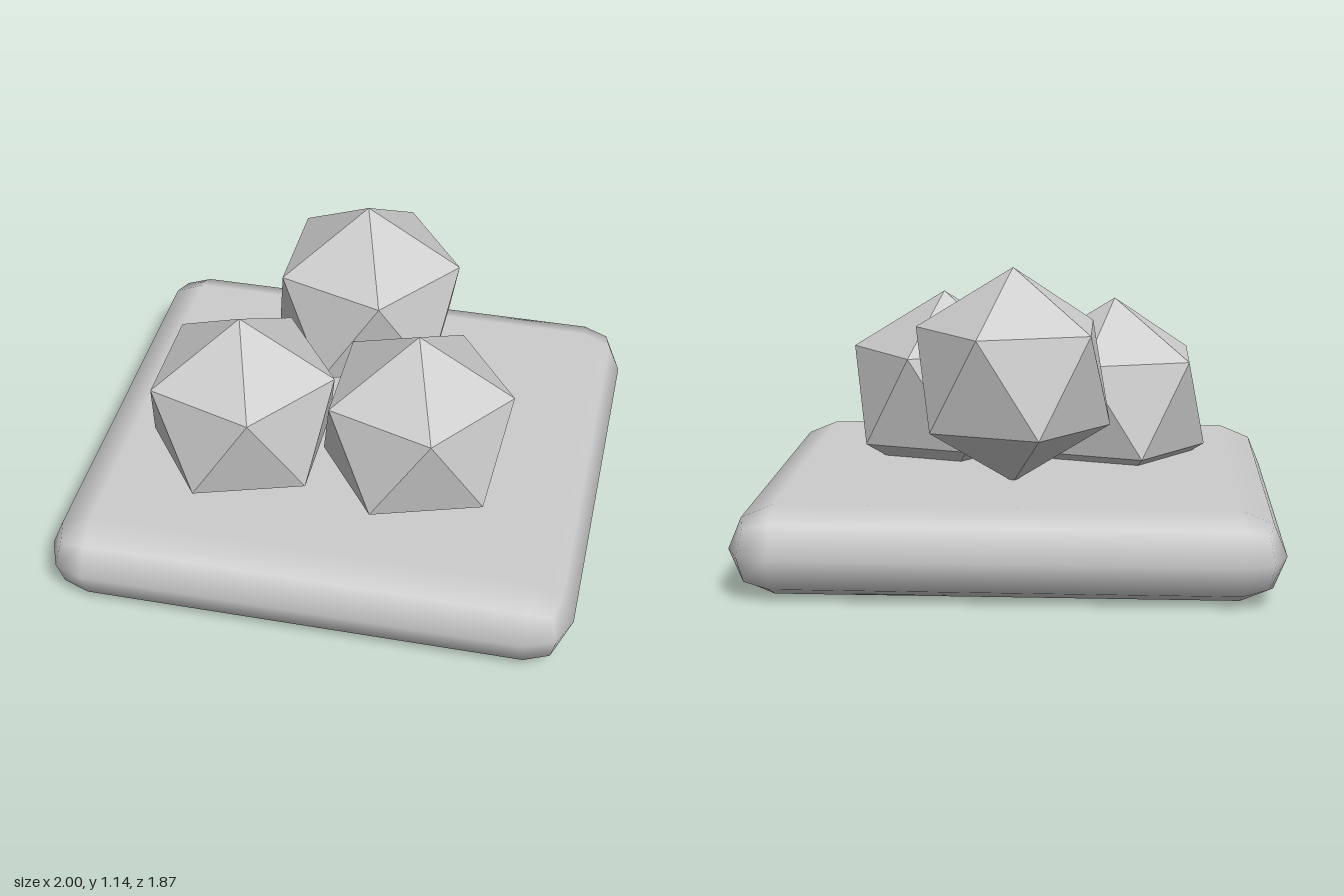
import * as THREE from 'three';
import { RoundedBoxGeometry } from 'three/addons/geometries/RoundedBoxGeometry.js';

export function createModel() {
  const model = new THREE.Group();
  model.name = 'stonesOnSlab';

  const grey = new THREE.MeshStandardMaterial({ color: 0xcccccc });
  grey.name = 'grey';
  const greyFaceted = new THREE.MeshStandardMaterial({ color: 0xcccccc, flatShading: true });
  greyFaceted.name = 'grey faceted';

  // Smooth slab with fully rounded edges
  const slab = new THREE.Mesh(new RoundedBoxGeometry(2, 0.33, 1.87, 1, 0.165), grey);
  slab.name = 'slab';
  slab.position.y = 0.165;
  model.add(slab);

  // Faceted stones: icosahedra standing on one corner
  const stoneShape = new THREE.IcosahedronGeometry(0.408, 0);
  stoneShape.rotateZ(-Math.atan(2 / (1 + Math.sqrt(5))));
  const stones = [
    ['backStone', 0, 0.728, -0.315],
    ['frontRightStone', -0.375, 0.543, 0.25],
    ['frontLeftStone', 0.31, 0.567, 0.25],
  ];
  for (const [name, x, y, z] of stones) {
    const stone = new THREE.Mesh(stoneShape, greyFaceted);
    stone.name = name;
    stone.position.set(x, y, z);
    model.add(stone);
  }

  return model;
}
